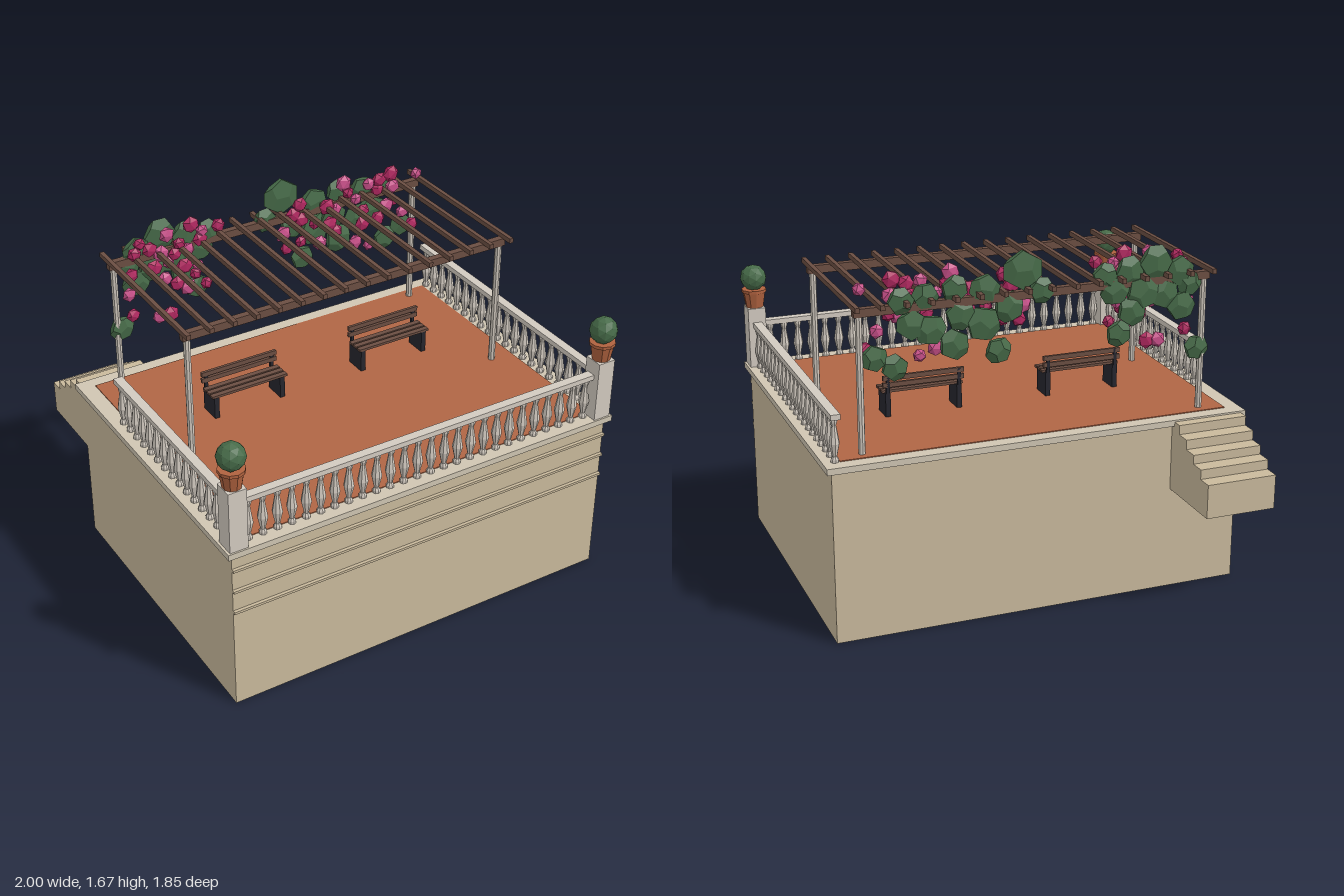
import * as THREE from 'three';

const mat = (color) => new THREE.MeshStandardMaterial({ color, flatShading: true });
const stone = mat(0xc9b99c), trim = mat(0xcfc5b2), white = mat(0xd2cac0), tile = mat(0xb06545);
const wood = mat(0x6b4e42), iron = mat(0x26262e), leafMat = mat(0x466a48), clay = mat(0xb0623f);
const pinks = [mat(0xb02860), mat(0xc9508a)];

function add(parent, name, geometry, material, x = 0, y = 0, z = 0) {
  const mesh = new THREE.Mesh(geometry, material);
  mesh.name = name;
  mesh.position.set(x, y, z);
  parent.add(mesh);
  return mesh;
}

// Box given by its extents on each axis
function box(parent, name, material, [x0, x1], [y0, y1], [z0, z1]) {
  return add(parent, name, new THREE.BoxGeometry(x1 - x0, y1 - y0, z1 - z0), material,
    (x0 + x1) / 2, (y0 + y1) / 2, (z0 + z1) / 2);
}

function group(parent, name) {
  const g = new THREE.Group();
  g.name = name;
  parent.add(g);
  return g;
}

const balusterGeo = new THREE.LatheGeometry(
  [[0, 0], [0.018, 0], [0.018, 0.012], [0.011, 0.025], [0.024, 0.085], [0.019, 0.115],
    [0.011, 0.165], [0.017, 0.185], [0.017, 0.2], [0, 0.2]].map(([r, y]) => new THREE.Vector2(r, y)), 8);

// Balustrade running between two points on the floor plan
function railing(parent, name, x0, z0, x1, z1) {
  const g = group(parent, name);
  const length = Math.hypot(x1 - x0, z1 - z0);
  const rail = add(g, 'handrail', new THREE.BoxGeometry(length, 0.025, 0.043), white,
    (x0 + x1) / 2, 1.0475, (z0 + z1) / 2);
  rail.rotation.y = Math.atan2(z0 - z1, x1 - x0);
  const count = Math.round(length / 0.07);
  for (let i = 0; i < count; i++) {
    const t = (i + 0.5) / count;
    add(g, 'baluster', balusterGeo, white, x0 + (x1 - x0) * t, 0.836, z0 + (z1 - z0) * t);
  }
}

// Corner pillar carrying a potted shrub
function cornerPost(parent, x, z) {
  const g = group(parent, 'cornerPost');
  g.position.set(x, 0, z);
  box(g, 'pillar', white, [-0.043, 0.043], [0.83, 1.13], [-0.046, 0.046]);
  add(g, 'pot', new THREE.CylinderGeometry(0.055, 0.042, 0.08, 10), clay, 0, 1.17, 0);
  add(g, 'potRim', new THREE.CylinderGeometry(0.06, 0.06, 0.015, 10), clay, 0, 1.212, 0);
  add(g, 'shrub', new THREE.IcosahedronGeometry(0.064, 1), leafMat, 0, 1.275, 0);
}

function bench(parent, x) {
  const g = group(parent, 'bench');
  g.position.set(x, 0, -0.03);
  for (const s of [-1, 1]) {
    box(g, 'benchLeg', iron, [s * 0.17 - 0.012, s * 0.17 + 0.012], [0.835, 0.95], [-0.055, 0.05]);
    box(g, 'backSupport', iron, [s * 0.17 - 0.008, s * 0.17 + 0.008], [0.95, 1.03], [-0.058, -0.046]);
  }
  for (const z of [-0.026, 0.008, 0.042])
    box(g, 'seatSlat', wood, [-0.193, 0.193], [0.948, 0.96], [z - 0.013, z + 0.013]);
  for (const y of [0.99, 1.022])
    box(g, 'backSlat', wood, [-0.193, 0.193], [y - 0.011, y + 0.011], [-0.058, -0.044]);
}

// Vine blobs: x, y and radius in hundredths of a unit
const leaves = [
  [-56, 155, 8], [-68, 150, 7], [-32, 151, 6], [-69, 134, 7], [-39, 124, 6], [-78, 113, 6],
  [-50, 142, 8], [-61, 140, 7], [-37, 144, 7], [-45, 134, 7], [-73, 144, 6], [-44, 152, 7],
  [7, 158, 9], [-2, 148, 6], [24, 151, 7], [38, 153, 6], [51, 151, 6], [13, 142, 7],
  [25, 136, 8], [18, 123, 6], [38, 128, 7], [49, 136, 7], [65, 121, 6], [74, 126, 6],
  [62, 150, 6], [57, 139, 7], [35, 141, 7],
];
const flowersLeft = [
  [-69, 156], [-72, 152], [-56, 158], [-43, 159], [-38, 155], [-30, 156], [-64, 152], [-59, 149],
  [-50, 152], [-45, 147], [-39, 151], [-63, 143], [-55, 143], [-74, 142], [-58, 136], [-47, 139],
  [-42, 134], [-76, 133], [-51, 131], [-46, 128], [-37, 128], [-74, 121], [-61, 117], [-56, 117],
  [-40, 137], [-52, 147],
];
const flowersRight = [
  [13, 155], [38, 159], [40, 154], [51, 156], [58, 156], [64, 158], [78, 155], [57, 151], [65, 151],
  [28, 150], [22, 142], [33, 147], [14, 147], [5, 141], [14, 135], [6, 134], [25, 131], [30, 140],
  [44, 150], [49, 142], [57, 136], [61, 142], [66, 143], [71, 136], [76, 128], [49, 135], [52, 123],
  [33, 136], [45, 126], [10, 150],
];

function buildVine(parent) {
  const g = group(parent, 'floweringVine');
  const leafGeo = new THREE.DodecahedronGeometry(1, 0);
  const petalGeo = new THREE.IcosahedronGeometry(1, 0);
  // Blobs are turned in the plane of the trellis and flattened along z
  const blob = (name, geo, material, x, y, z, r, depth, turn) => {
    const m = add(g, name, geo, material, x / 100, y / 100, z);
    m.scale.set(r, r, depth);
    m.rotation.z = turn;
  };
  leaves.forEach(([x, y, r], i) =>
    blob('leafClump', leafGeo, leafMat, x, y, -0.473 + 0.004 * (i % 3 - 1), r * 0.0105, 0.025, i * 1.7));
  [...flowersLeft, ...flowersRight].forEach(([x, y], i) =>
    blob('blossom', petalGeo, pinks[i * 7 % 5 < 3 ? 0 : 1], x, y, -0.415 + 0.008 * (i % 3 - 1),
      0.031 + 0.004 * (i % 4), 0.024, i * 2.3));
}

export function createModel() {
  const model = new THREE.Group();
  model.name = 'terrace';

  // Massive base with front mouldings, coping slab and tiled floor
  box(model, 'base', stone, [-0.965, 0.965], [0, 0.81], [-0.555, 0.895]);
  for (const y of [0.51, 0.62, 0.73])
    box(model, 'frontMoulding', stone, [-0.965, 0.965], [y - 0.006, y + 0.006], [0.89, 0.91]);
  box(model, 'copingSlab', trim, [-0.99, 0.99], [0.805, 0.834], [-0.58, 0.92]);
  box(model, 'tiledFloor', tile, [-0.915, 0.915], [0.82, 0.838], [-0.515, 0.85]);

  // Stair block at the back, as one stepped outline pushed sideways
  const steps = new THREE.Shape();
  steps.moveTo(0.55, 0.49);
  steps.lineTo(0.92, 0.49);
  [0.65, 0.695, 0.737, 0.782, 0.826].forEach((y, i) => {
    steps.lineTo(0.92 - i * 0.073, y);
    steps.lineTo(i < 4 ? 0.92 - (i + 1) * 0.073 : 0.55, y);
  });
  const stair = add(model, 'backStairs',
    new THREE.ExtrudeGeometry(steps, { depth: 0.335, bevelEnabled: false }), stone, -0.965, 0, 0);
  stair.rotation.y = Math.PI / 2;

  // Balustrades and corner posts
  railing(model, 'frontRailing', -0.9, 0.86, 0.9, 0.86);
  railing(model, 'leftRailing', 0.936, 0.83, 0.936, -0.545);
  railing(model, 'rightRailing', -0.936, 0.83, -0.936, -0.2);
  for (const s of [-1, 1]) cornerPost(model, s * 0.936, 0.866);

  // Pergola: posts, two long beams and a row of rafters
  const pergola = group(model, 'pergola');
  for (const z of [0.245, -0.467]) {
    for (const s of [-1, 1])
      add(pergola, 'pergolaPost', new THREE.CylinderGeometry(0.016, 0.016, 0.62, 8), white, s * 0.803, 1.145, z);
    box(pergola, 'beam', wood, [-0.828, 0.828], [1.45, 1.487], [z - 0.016, z + 0.016]);
  }
  for (let i = 0; i < 16; i++) {
    const x = -0.825 + i * 0.11;
    box(pergola, 'rafter', wood, [x - 0.01, x + 0.01], [1.485, 1.508], [-0.535, 0.312]);
  }

  bench(model, -0.387);
  bench(model, 0.392);
  buildVine(model);
  return model;
}
